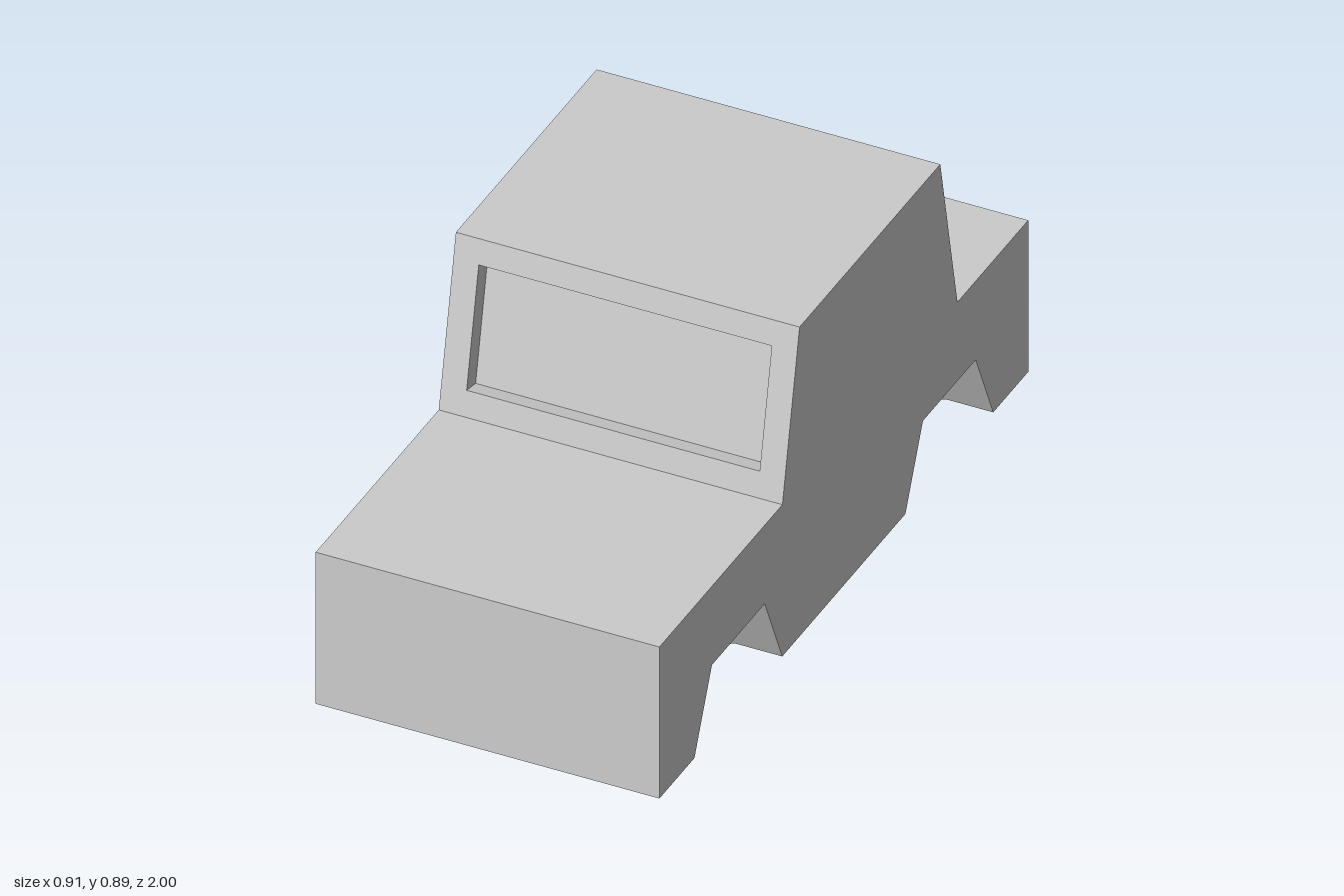
import * as THREE from 'three';

const W = 0.455; // half width
const ARCH_Z = 0.572, ARCH_H = 0.21, ARCH_BOTTOM = 0.238, ARCH_TOP = 0.143;
const ARCH_OUT = 0.33, ARCH_IN = 0.19; // x of the pocket's roof edge and of its foot

// body outline as [z, y]: nose, hood, cabin, tail
const OUTLINE = [
  [1, 0], [1, 0.437], [0.333, 0.437], [0.24, 0.892],
  [-0.523, 0.892], [-0.616, 0.437], [-1, 0.437], [-1, 0],
];

const material = new THREE.MeshStandardMaterial({ color: 0xcccccc, flatShading: true });

function mesh(name, geometry) {
  const m = new THREE.Mesh(geometry, material);
  m.name = name;
  return m;
}

// flat polygons, corners counter-clockwise as seen from their front
function facesGeometry(faces) {
  const pos = [];
  for (const f of faces) {
    for (let i = 1; i < f.length - 1; i++) pos.push(...f[0], ...f[i], ...f[i + 1]);
  }
  const g = new THREE.BufferGeometry();
  g.setAttribute('position', new THREE.Float32BufferAttribute(pos, 3));
  g.computeVertexNormals();
  return g;
}

const shapeOf = (pts) => new THREE.Shape(pts.map(([x, y]) => new THREE.Vector2(x, y)));

// side panel with both wheel arch openings
function sidePanel(name, side) {
  const pts = [...OUTLINE];
  for (const c of [-ARCH_Z, ARCH_Z]) {
    pts.push([c - ARCH_BOTTOM, 0], [c - ARCH_TOP, ARCH_H], [c + ARCH_TOP, ARCH_H], [c + ARCH_BOTTOM, 0]);
  }
  const g = new THREE.ShapeGeometry(shapeOf(pts.map(([z, y]) => [-side * z, y])));
  g.rotateY(side * Math.PI / 2).translate(side * W, 0, 0);
  return mesh(name, g);
}

// underside, notched by the four arches
function underside() {
  const half = [[W, -1]];
  for (const c of [-ARCH_Z, ARCH_Z]) {
    half.push(
      [W, c - ARCH_BOTTOM], [ARCH_OUT, c - ARCH_BOTTOM], [ARCH_IN, c - ARCH_TOP],
      [ARCH_IN, c + ARCH_TOP], [ARCH_OUT, c + ARCH_BOTTOM], [W, c + ARCH_BOTTOM]);
  }
  half.push([W, 1]);
  const pts = [...half, ...half.map(([x, z]) => [-x, -z])];
  return mesh('underside', new THREE.ShapeGeometry(shapeOf(pts)).rotateX(Math.PI / 2));
}

// panel across the full width between two outline points
function crossPanel(name, i) {
  const [[z0, y0], [z1, y1]] = [OUTLINE[i], OUTLINE[i + 1]];
  return mesh(name, facesGeometry([[[-W, y0, z0], [W, y0, z0], [W, y1, z1], [-W, y1, z1]]]));
}

// tapered wheel pocket with cut inner corners
function wheelArch(name) {
  const h = ARCH_H, b = ARCH_BOTTOM, t = ARCH_TOP, i = ARCH_OUT, j = ARCH_IN;
  const faces = [
    [[i, h, -t], [W, h, -t], [W, h, t], [i, h, t]],
    [[i, h, -t], [i, h, t], [j, 0, t], [j, 0, -t]],
  ];
  for (const s of [1, -1]) {
    const ends = [
      [[W, 0, s * b], [i, 0, s * b], [i, h, s * t], [W, h, s * t]],
      [[i, 0, s * b], [j, 0, s * t], [i, h, s * t]],
    ];
    for (const f of ends) faces.push(s > 0 ? f : f.reverse());
  }
  return mesh(name, facesGeometry(faces));
}

// sloped cabin end with a recessed window
function windowWall(name, low, high, halfWidth, yLow, yHigh, back) {
  const lean = Math.atan2(Math.abs(low[0] - high[0]), high[1] - low[1]);
  const along = (y) => (y - low[1]) / Math.cos(lean);
  const top = along(high[1]), v0 = along(yLow), v1 = along(yHigh), d = -0.05;
  const frame = shapeOf([[-W, 0], [W, 0], [W, top], [-W, top]]);
  const corners = [[-halfWidth, v0], [halfWidth, v0], [halfWidth, v1], [-halfWidth, v1]];
  frame.holes.push(shapeOf(corners));
  const reveal = corners.map((p, k) => {
    const q = corners[(k + 1) % 4];
    return [[...p, 0], [...q, 0], [...q, d], [...p, d]];
  });
  const group = new THREE.Group();
  group.name = name;
  group.add(
    mesh(name + 'Frame', new THREE.ShapeGeometry(frame)),
    mesh(name + 'Reveal', facesGeometry(reveal)),
    mesh(name + 'Pane', facesGeometry([corners.map((p) => [...p, d])])));
  group.position.set(0, low[1], low[0]);
  group.rotation.set(-lean, back ? Math.PI : 0, 0, 'YXZ');
  return group;
}

export function createModel() {
  const model = new THREE.Group();
  model.name = 'car';
  model.add(
    sidePanel('leftSide', 1), sidePanel('rightSide', -1), underside(),
    crossPanel('nose', 0), crossPanel('hood', 1), crossPanel('roof', 3),
    crossPanel('rearDeck', 5), crossPanel('tail', 6),
    windowWall('windshield', OUTLINE[2], OUTLINE[3], 0.388, 0.505, 0.826, false),
    windowWall('rearWindow', OUTLINE[5], OUTLINE[4], 0.353, 0.53, 0.79, true));

  // one arch per wheel; the right-hand ones are turned half round
  for (const [end, z] of [['front', ARCH_Z], ['rear', -ARCH_Z]]) {
    for (const [side, turn] of [['Left', 0], ['Right', Math.PI]]) {
      const arch = wheelArch(end + side + 'WheelArch');
      arch.position.z = z;
      arch.rotation.y = turn;
      model.add(arch);
    }
  }
  return model;
}
